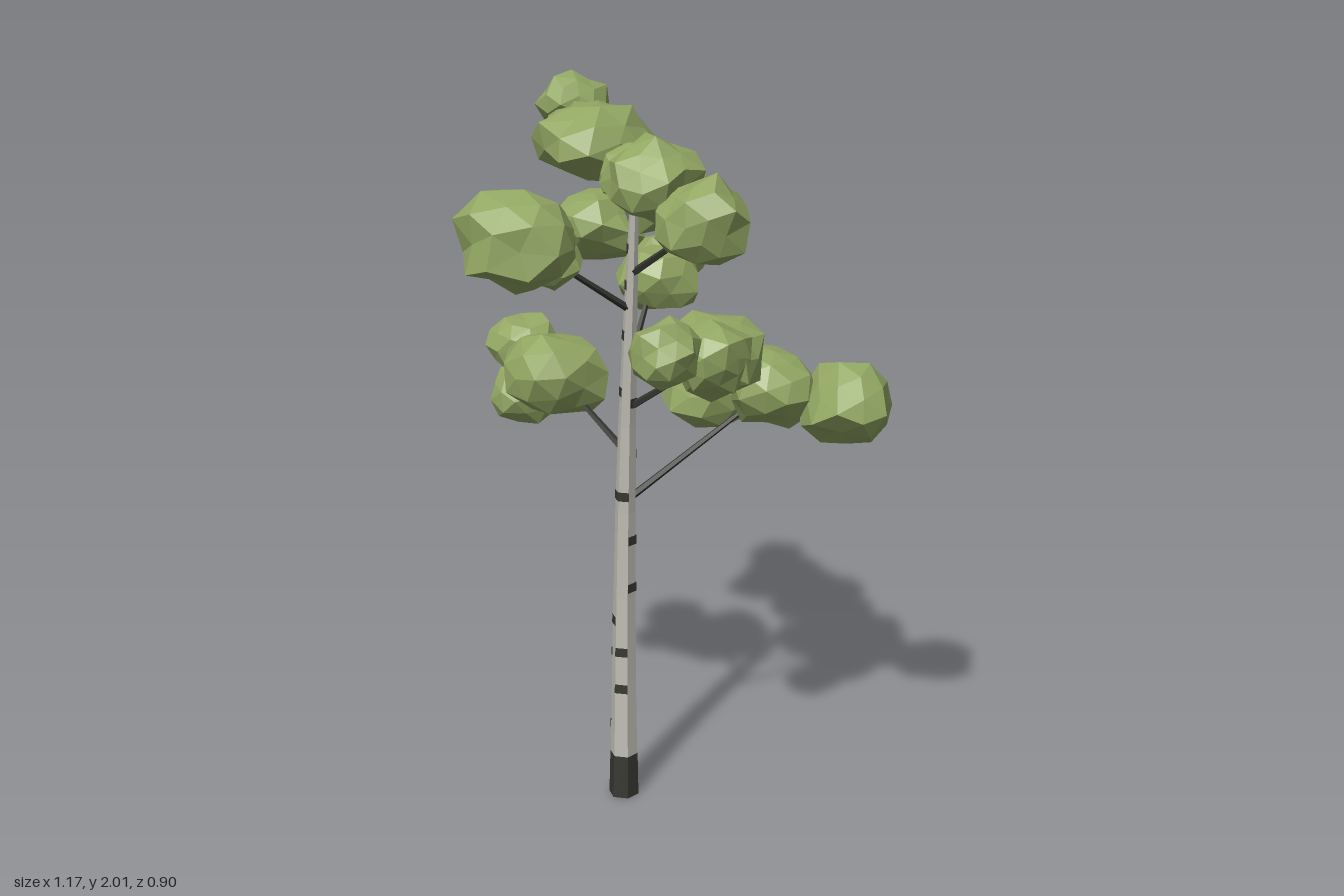
import * as THREE from 'three';
import { mergeVertices } from 'three/addons/utils/BufferGeometryUtils.js';

const mat = (name, color) => {
  const m = new THREE.MeshStandardMaterial({ color, flatShading: true });
  m.name = name;
  return m;
};

// Small seeded random generator
function seeded(seed) {
  let s = seed * 7919 + 17;
  return () => {
    s = (s * 16807) % 2147483647;
    return s / 2147483647;
  };
}

// Trunk centre line and radius at each height
const trunkRings = [
  [-0.13, 0, 0.033, 0.042], [-0.127, 0.125, 0.026, 0.039], [-0.122, 0.35, 0.013, 0.035],
  [-0.116, 0.6, 0.004, 0.032], [-0.111, 0.85, 0.002, 0.029], [-0.107, 1.1, 0.01, 0.025],
  [-0.103, 1.35, 0.026, 0.02], [-0.1, 1.55, 0.043, 0.016], [-0.098, 1.76, 0.063, 0.011],
];
const SIDES = 6;

function trunkAt(y) {
  let i = 0;
  while (i < trunkRings.length - 2 && trunkRings[i + 1][1] < y) i++;
  const a = trunkRings[i], b = trunkRings[i + 1], t = (y - a[1]) / (b[1] - a[1]);
  return a.map((v, k) => v + (b[k] - v) * t);
}

// Point on a trunk corner, pushed out by a small offset
function corner(y, k, out) {
  const [x, , z, r] = trunkAt(y);
  const a = (k / SIDES) * Math.PI * 2;
  return [x + Math.sin(a) * (r + out), y, z + Math.cos(a) * (r + out)];
}

// Skin of the trunk between heights, over a span of its sides
function skin(heights, from, count, out) {
  const pos = [];
  for (let i = 0; i < heights.length - 1; i++) {
    for (let k = from; k < from + count; k++) {
      const a = corner(heights[i], k, out), b = corner(heights[i], k + 1, out);
      const c = corner(heights[i + 1], k + 1, out), d = corner(heights[i + 1], k, out);
      pos.push(...a, ...b, ...c, ...a, ...c, ...d);
    }
  }
  const g = new THREE.BufferGeometry();
  g.setAttribute('position', new THREE.Float32BufferAttribute(pos, 3));
  g.computeVertexNormals();
  return g;
}

// Lumpy low-poly leaf cluster
function leafGeometry(seed, rx, ry, rz) {
  const rnd = seeded(seed);
  let g = new THREE.IcosahedronGeometry(1, 1);
  g.deleteAttribute('normal');
  g.deleteAttribute('uv');
  g = mergeVertices(g, 1e-3);
  g.rotateY(rnd() * 6).rotateX(rnd() * 6);
  const p = g.attributes.position, v = new THREE.Vector3();
  for (let i = 0; i < p.count; i++) {
    v.fromBufferAttribute(p, i).multiplyScalar(0.82 + rnd() * 0.3);
    p.setXYZ(i, v.x * rx, v.y * ry, v.z * rz);
  }
  g = g.toNonIndexed();
  g.computeVertexNormals();
  return g;
}

export function createModel() {
  const leaf = mat('leaf green', 0x92a763);
  const bark = mat('pale bark', 0xbcbab0);
  const dark = mat('dark bark', 0x353630);
  bark.side = dark.side = THREE.DoubleSide;

  const tree = new THREE.Group();
  tree.name = 'tree';
  const add = (name, geometry, material, parent = tree) => {
    const m = new THREE.Mesh(geometry, material);
    m.name = name;
    parent.add(m);
    return m;
  };

  // Trunk with a dark foot
  add('trunk', skin(trunkRings.slice(1).map(r => r[1]), 0, SIDES, 0), bark);
  add('trunkFoot', skin([0, 0.125], 0, SIDES, 0.001), dark);
  const base = new THREE.CircleGeometry(0.042, SIDES).rotateX(Math.PI / 2).rotateY(Math.PI / 6);
  add('trunkUnderside', base, dark).position.set(-0.13, 0.001, 0.033);

  // Bark marks: height, first side, number of sides
  const marks = new THREE.Group();
  marks.name = 'barkMarks';
  tree.add(marks);
  [[0.21, 2, 2], [0.33, 5, 1], [0.44, 5, 1], [0.43, 3, 1], [0.53, 2, 3], [0.63, 0, 2],
    [0.77, 0, 3], [0.9, 4, 2], [0.87, 2, 1], [1.02, 1, 2], [1.17, 0, 2],
    [1.2, 3, 2], [1.36, 3, 2], [1.5, 2, 3], [1.6, 3, 2]].forEach(([y, from, count]) =>
    add('barkMark', skin([y - 0.013, y + 0.013], from, count, 0.002), dark, marks));

  // Thin branches from the trunk into the leaves
  const branches = new THREE.Group();
  branches.name = 'branches';
  tree.add(branches);
  [[0.88, 0.28, 1.19, 0.08], [1.02, -0.25, 1.2, -0.2], [1.27, 0.03, 1.47, -0.18],
    [1.15, 0.07, 1.33, 0.21], [1.43, -0.38, 1.63, 0.1], [1.53, 0.02, 1.7, 0.27],
    [1.66, -0.13, 1.84, -0.12]].forEach(([y, ...end]) => {
    const [x, , z] = trunkAt(y);
    const a = new THREE.Vector3(x, y, z), dir = new THREE.Vector3(...end).sub(a);
    const g = new THREE.CylinderGeometry(0.006, 0.011, dir.length(), 5);
    const m = add('branch', g, dark, branches);
    m.position.copy(a).addScaledVector(dir, 0.5);
    m.quaternion.setFromUnitVectors(new THREE.Vector3(0, 1, 0), dir.normalize());
  });

  // Leaf clusters: centre x y z, radii x y z
  const crown = new THREE.Group();
  crown.name = 'crown';
  tree.add(crown);
  [
    // Right upper branch
    [-0.42, 1.66, 0.13, 0.165, 0.135, 0.16], [-0.36, 1.62, 0.04, 0.11, 0.1, 0.105],
    [-0.32, 1.58, 0.05, 0.085, 0.08, 0.1],
    // Front upper branch
    [0.02, 1.71, 0.28, 0.125, 0.12, 0.115], [-0.07, 1.8, 0.12, 0.13, 0.105, 0.135],
    [-0.07, 1.79, 0.02, 0.12, 0.08, 0.1],
    // Top of the tree
    [-0.15, 1.85, -0.13, 0.165, 0.11, 0.145], [-0.15, 1.92, -0.36, 0.1, 0.085, 0.1],
    [-0.13, 1.86, -0.26, 0.135, 0.09, 0.125], [0.03, 1.7, -0.1, 0.12, 0.105, 0.15],
    // Back left branch
    [0.1, 1.46, -0.31, 0.105, 0.1, 0.115], [0.04, 1.46, -0.17, 0.125, 0.095, 0.115],
    [-0.1, 1.59, -0.3, 0.13, 0.1, 0.125],
    // Front lower branch
    [0.08, 1.34, 0.2, 0.135, 0.115, 0.14], [-0.11, 1.4, 0.37, 0.095, 0.09, 0.09],
    [0.04, 1.35, 0.28, 0.115, 0.1, 0.1],
    // Left lower branch
    [0.28, 1.2, 0.09, 0.13, 0.12, 0.14], [0.45, 1.17, 0.2, 0.13, 0.115, 0.145],
    [0.18, 1.16, -0.07, 0.15, 0.11, 0.155],
    // Back right lower branch
    [-0.25, 1.2, -0.2, 0.145, 0.125, 0.145], [-0.3, 1.25, -0.36, 0.105, 0.085, 0.095],
    [-0.32, 1.14, -0.27, 0.105, 0.095, 0.1],
  ].forEach(([x, y, z, rx, ry, rz], i) =>
    add('leafCluster', leafGeometry(i + 3, rx, ry, rz), leaf, crown).position.set(x, y, z));

  return tree;
}
